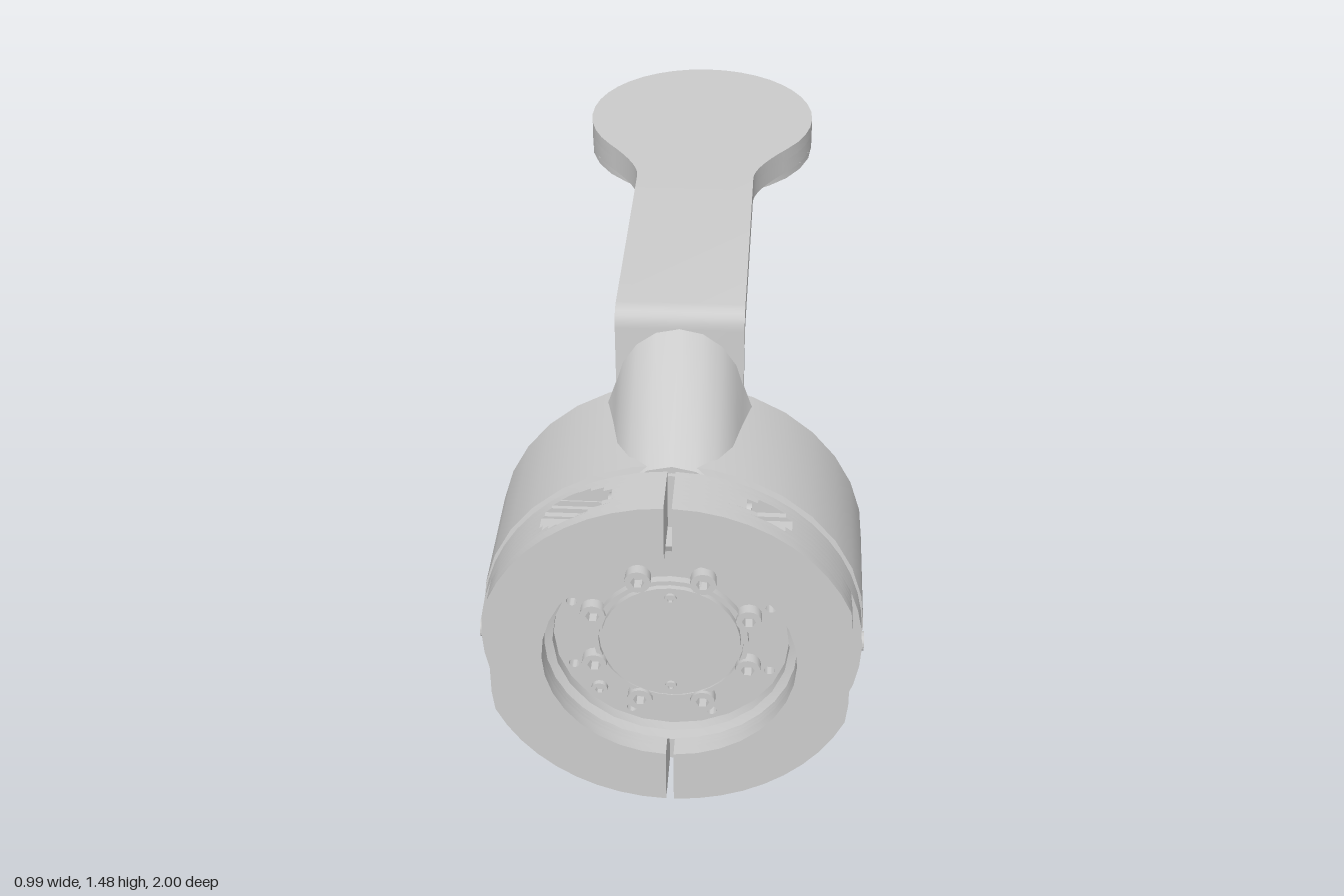
import * as THREE from 'three';
import { toCreasedNormals } from 'three/addons/utils/BufferGeometryUtils.js';

const mat = new THREE.MeshStandardMaterial({ color: 0xcccccc });
const C = 0.74;            // height of the drum axis
const ARM = 0.165;         // half width of the bracket
const HUB_Z = -0.615;      // centre of both paddle ends

function add(parent, name, geo, x = 0, y = 0, z = 0) {
  const m = new THREE.Mesh(toCreasedNormals(geo, 0.55), mat);
  m.name = name;
  m.position.set(x, y, z);
  parent.add(m);
  return m;
}

const V = (a) => a.map(([x, y]) => new THREE.Vector2(x, y));
const extrude = (shape, depth, steps = 1, seg = 14) =>
  new THREE.ExtrudeGeometry(shape, { depth, steps, bevelEnabled: false, curveSegments: seg });

// Turned part about the z axis, profile in (radius, z)
const turned = (pts, seg = 32) => new THREE.LatheGeometry(V(pts), seg).rotateX(Math.PI / 2);

const circle = (r, x = 0, y = 0, Type = THREE.Path) => new Type().absarc(x, y, r, 0, Math.PI * 2, false);

function hexPath(r) {
  const p = [];
  for (let i = 0; i < 6; i++) p.push([r * Math.cos(i * Math.PI / 3), r * Math.sin(i * Math.PI / 3)]);
  return new THREE.Path(V([...p, p[0]]));
}

// Ring-shaped screw head with a hexagonal socket, facing +z
function screwGeo(r, depth) {
  const s = circle(r, 0, 0, THREE.Shape);
  s.holes.push(hexPath(r * 0.55));
  return extrude(s, depth, 1, 8);
}

// Flat plate lying in x-z (shape y = world z), hanging down from yTop
const plate = (shape, yTop, t) => extrude(shape, t).rotateX(Math.PI / 2).translate(0, yTop, 0);

// Round paddle end blending into the arm
function paddleShape(r) {
  const a = 38 * Math.PI / 180;
  const px = r * Math.cos(a), pz = HUB_Z + r * Math.sin(a);
  const cz = pz + (px - ARM) / Math.tan(a);
  const s = new THREE.Shape();
  s.moveTo(ARM, cz + 0.07);
  s.lineTo(-ARM, cz + 0.07);
  s.quadraticCurveTo(-ARM, cz, -px, pz);
  s.absarc(0, HUB_Z, r, Math.PI - a, Math.PI * 2 + a, false);
  s.quadraticCurveTo(ARM, cz, ARM, cz + 0.07);
  return s;
}

// One half of the clamp collar as a slice at offset dz from the screw axis
function collarSlice(dz) {
  const R = 0.49, r = 0.325, X = (y) => Math.min(Math.sqrt(R * R - y * y), dz > 0 ? 0.46 : 1);
  const pts = [];
  const notches = [[-0.42, 0.05, 0.1], [0.42, 0.034, 0.17]]
    .filter((n) => Math.abs(dz) < n[1])
    .map(([y, q, f]) => [y, Math.sqrt(q * q - dz * dz), f]);
  const rows = [];
  for (let i = 0; i <= 24; i++) rows.push(R * Math.sin((i / 24 - 0.5) * (Math.PI - 0.041)));
  const outside = rows.filter((y) => !notches.some((n) => Math.abs(y - n[0]) <= n[1])).map((y) => [y, [[X(y), y]]]);
  for (const [y, h, f] of notches)
    outside.push([y, [[X(y - h), y - h], [f, y - h], [f, y + h], [X(y + h), y + h]]]);
  outside.sort((a, b) => a[0] - b[0]).forEach((o) => pts.push(...o[1]));
  for (let i = 0; i <= 16; i++) {
    const a = (0.5 - i / 16) * (Math.PI - 0.062);
    pts.push([r * Math.cos(a), r * Math.sin(a)]);
  }
  return new THREE.Shape(V(pts));
}

function collarHalf() {
  const g = new THREE.Group();
  const edges = [0.85];
  for (let k = 0; k <= 8; k++) edges.push(0.92 - 0.05 * Math.cos(k * Math.PI / 8));
  edges.push(1);
  for (let i = 0; i < edges.length - 1; i++) {
    const [a, b] = [edges[i], edges[i + 1]];
    add(g, 'collarSlice', extrude(collarSlice((a + b) / 2 - 0.92), b - a), 0, 0, a);
  }
  add(g, 'clampScrew', screwGeo(0.042, 0.05).rotateY(Math.PI / 2), 0.1, -0.42, 0.92);
  add(g, 'clampNut', screwGeo(0.03, 0.03).rotateY(Math.PI / 2), 0.17, 0.42, 0.92);
  add(g, 'setScrew', screwGeo(0.025, 0.03).rotateY(Math.PI / 2), 0.465, 0, 0.89);
  return g;
}

// Sloped boss in front of the bracket and scooped gusset behind it
function bossAndGusset() {
  const g = new THREE.Group();
  const half = [[0.21, -0.29], [0.185, -0.23], [0.165, -0.17], [0.146, -0.105], [0.11, -0.05], [0.06, -0.013]];
  const section = [...half, [0, 0], ...half.map(([x, y]) => [-x, y]).reverse()];
  const front = extrude(new THREE.Shape(V(section)), 0.33);
  const p = front.attributes.position;
  for (let i = 0; i < p.count; i++) p.setY(i, p.getY(i) - 0.6 * p.getZ(i));
  front.computeVertexNormals();
  add(g, 'slopedBoss', front, 0, 1.435 - C, 0.51);

  const semi = new THREE.Shape().absarc(0, 0, 1, Math.PI, Math.PI * 2, false);
  const back = extrude(semi, 1, 8);
  const q = back.attributes.position;
  for (let i = 0; i < q.count; i++) {
    const t = q.getZ(i);
    const h = 0.02 + 0.27 * Math.pow(1 - t, 1.6);
    q.setXYZ(i, q.getX(i) * (0.16 - 0.04 * t), q.getY(i) * h, -0.25 * t);
  }
  // the depth axis was reversed, so swap two corners of every triangle
  for (let i = 0; i < q.count; i += 3) {
    const a = [q.getX(i), q.getY(i), q.getZ(i)];
    q.setXYZ(i, q.getX(i + 1), q.getY(i + 1), q.getZ(i + 1));
    q.setXYZ(i + 1, ...a);
  }
  back.computeVertexNormals();
  add(g, 'gusset', back, 0, 1.42 - C, 0.47);
  for (const s of [-1, 1]) {
    const screw = add(g, 'gussetScrew', screwGeo(0.028, 0.05), s * 0.075, 1.335 - C, 0.38);
    screw.rotation.x = Math.PI * 0.8;
  }
  add(g, 'armRib', new THREE.BoxGeometry(0.26, 0.03, 0.55), 0, 1.405 - C, 0.03);
  return g;
}

// U-shaped strap: side profile in (z, y) extruded across x
function strapGeo() {
  const H = 2 * C, t = 0.075, zo = 0.515, zi = 0.465, e = -0.27, r = 0.05, k = 0.025;
  const s = new THREE.Shape();
  s.moveTo(e, 0);
  s.lineTo(zo - r, 0);
  s.quadraticCurveTo(zo, 0, zo, r);
  s.lineTo(zo, H - r);
  s.quadraticCurveTo(zo, H, zo - r, H);
  s.lineTo(e, H);
  s.lineTo(e, H - t);
  s.lineTo(zi - k, H - t);
  s.quadraticCurveTo(zi, H - t, zi, H - t - k);
  s.lineTo(zi, t + k);
  s.quadraticCurveTo(zi, t, zi - k, t);
  s.lineTo(e, t);
  // the strap is open where the drum back sits
  s.holes.push(circle(0.16, zi - 10, C));
  s.holes.length = 0;
  return extrude(s, ARM * 2, 1, 5).rotateY(-Math.PI / 2).translate(ARM, 0, 0);
}

export function createModel() {
  const model = new THREE.Group();
  model.name = 'motorBracket';

  // Drum shell with a round opening in its back
  const body = new THREE.Group();
  body.name = 'body';
  body.position.y = C;
  model.add(body);
  add(body, 'drum', turned([[0.16, 0.455], [0.485, 0.455], [0.495, 0.465], [0.495, 0.83], [0.478, 0.835],
    [0.478, 0.852], [0.3, 0.852], [0.3, 0.835], [0.43, 0.8], [0.43, 0.53], [0.16, 0.53], [0.16, 0.455]]));
  add(body, 'motorCore', turned([[0, 0.62], [0.09, 0.62], [0.1, 0.66], [0.32, 0.66], [0.32, 0.872], [0, 0.872]]));

  // Split clamp collar
  for (const a of [0, Math.PI]) {
    const half = collarHalf();
    half.name = a ? 'rightCollar' : 'leftCollar';
    half.rotation.z = a;
    body.add(half);
  }

  // Recessed face plate, hub and fasteners
  const face = circle(0.326, 0, 0, THREE.Shape);
  const ringAt = (r, i) => [r * Math.cos((i + 0.5) * Math.PI / 4), r * Math.sin((i + 0.5) * Math.PI / 4)];
  for (let i = 0; i < 8; i++) face.holes.push(circle(0.014, ...ringAt(0.276, i)));
  add(body, 'facePlate', extrude(face, 0.03), 0, 0, 0.87);
  add(body, 'faceRim', turned([[0.305, 0.895], [0.328, 0.895], [0.328, 0.94], [0.305, 0.93], [0.305, 0.895]], 24));
  add(body, 'hub', turned([[0.2, 0.895], [0.2, 0.92], [0.187, 0.92], [0.187, 0.908], [0.18, 0.908],
    [0.18, 0.925], [0, 0.925]]));
  for (let i = 0; i < 8; i++) add(body, 'faceBolt', screwGeo(0.033, 0.035), ...ringAt(0.216, i), 0.895);
  for (const y of [-0.148, 0.148]) add(body, 'hubPin', screwGeo(0.016, 0.012), 0, y, 0.92);
  add(body, 'faceScrew', screwGeo(0.022, 0.015), -0.19, -0.185, 0.898);

  // Strap with a boss and gusset at each end
  add(model, 'strap', strapGeo());
  for (const a of [0, Math.PI]) {
    const g = bossAndGusset();
    g.name = a ? 'lowerSupport' : 'upperSupport';
    g.position.y = C;
    g.rotation.z = a;
    model.add(g);
  }

  // Upper paddle: cap, keyhole pocket layer and rim
  add(model, 'upperPaddle', plate(paddleShape(0.33), 1.48, 0.035));
  const key = paddleShape(0.33);
  const pocket = new THREE.Path();
  pocket.moveTo(0.07, -0.36);
  pocket.lineTo(-0.07, -0.36);
  pocket.absarc(0, HUB_Z, 0.18, Math.PI - 1.17, Math.PI * 2 + 1.17, false);
  pocket.lineTo(0.07, -0.36);
  key.holes.push(pocket);
  add(model, 'upperPocket', plate(key, 1.445, 0.04));
  const rim = circle(0.33, 0, HUB_Z, THREE.Shape);
  rim.holes.push(circle(0.275, 0, HUB_Z));
  add(model, 'upperRim', plate(rim, 1.405, 0.02));

  // Lower ring with a stepped bore
  for (const [hole, top, t] of [[0.33, 0.078, 0.038], [0.315, 0.04, 0.04]]) {
    const s = paddleShape(0.385);
    s.holes.push(circle(hole, 0, HUB_Z));
    add(model, 'lowerRing', plate(s, top, t));
  }
  return model;
}
